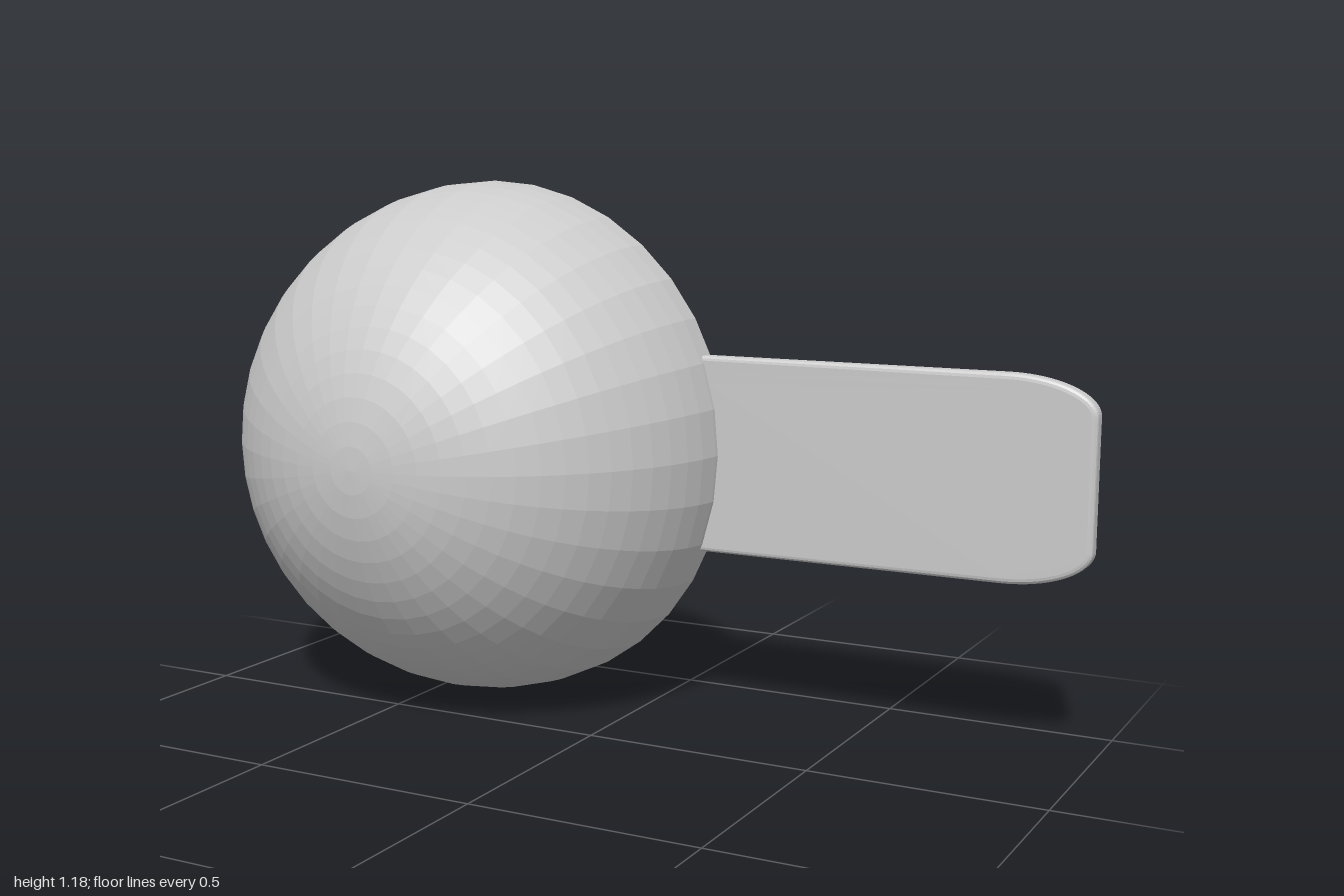
import * as THREE from 'three';

const R = 0.59, WALL = 0.025;      // dome radius and shell thickness
const CX = -0.41, CY = 0.592, BACK = -0.295;

// Hollow half sphere, open towards the back
function makeDome(material) {
  const rings = 18;
  const profile = [];
  const arcPoint = (r, i) => {
    const a = (i / rings) * Math.PI / 2;
    return new THREE.Vector2(i === 0 ? 0 : r * Math.sin(a), i === rings ? 0 : r * Math.cos(a));
  };
  for (let i = 0; i <= rings; i++) profile.push(arcPoint(R - WALL, i)); // inside, pole to rim
  for (let i = rings; i >= 0; i--) profile.push(arcPoint(R, i));        // outside, rim to pole
  const geometry = new THREE.LatheGeometry(profile, 36);
  geometry.rotateX(Math.PI / 2);
  const dome = new THREE.Mesh(geometry, material);
  dome.name = 'dome';
  dome.position.set(CX, CY, BACK);
  return dome;
}

// Flat tab with elliptical outer corners; its inner end follows the shell wall
function makeTab(material) {
  const half = 0.217, end = 1 - CX, rx = 0.19, ry = 0.08;
  const rootRadius = R - 0.02, root = Math.asin(half / rootRadius);
  const shape = new THREE.Shape();
  shape.moveTo(rootRadius * Math.cos(root), -half);
  shape.lineTo(end - rx, -half);
  shape.absellipse(end - rx, -half + ry, rx, ry, -Math.PI / 2, 0, false);
  shape.absellipse(end - rx, half - ry, rx, ry, 0, Math.PI / 2, false);
  shape.absarc(0, 0, rootRadius, root, -root, true);
  const bevel = 0.009, size = 0.012, thickness = 0.04;
  const geometry = new THREE.ExtrudeGeometry(shape, {
    depth: thickness - 2 * bevel, bevelThickness: bevel, bevelSize: size,
    bevelOffset: -size, bevelSegments: 3, curveSegments: 10,
  });
  const tab = new THREE.Mesh(geometry, material);
  tab.name = 'tab';
  tab.position.set(CX, CY, BACK + 0.002 + bevel);
  return tab;
}

export function createModel() {
  const material = new THREE.MeshStandardMaterial({ color: 0xcccccc, flatShading: true });
  const group = new THREE.Group();
  group.name = 'domeWithTab';
  group.add(makeDome(material), makeTab(material));
  return group;
}
